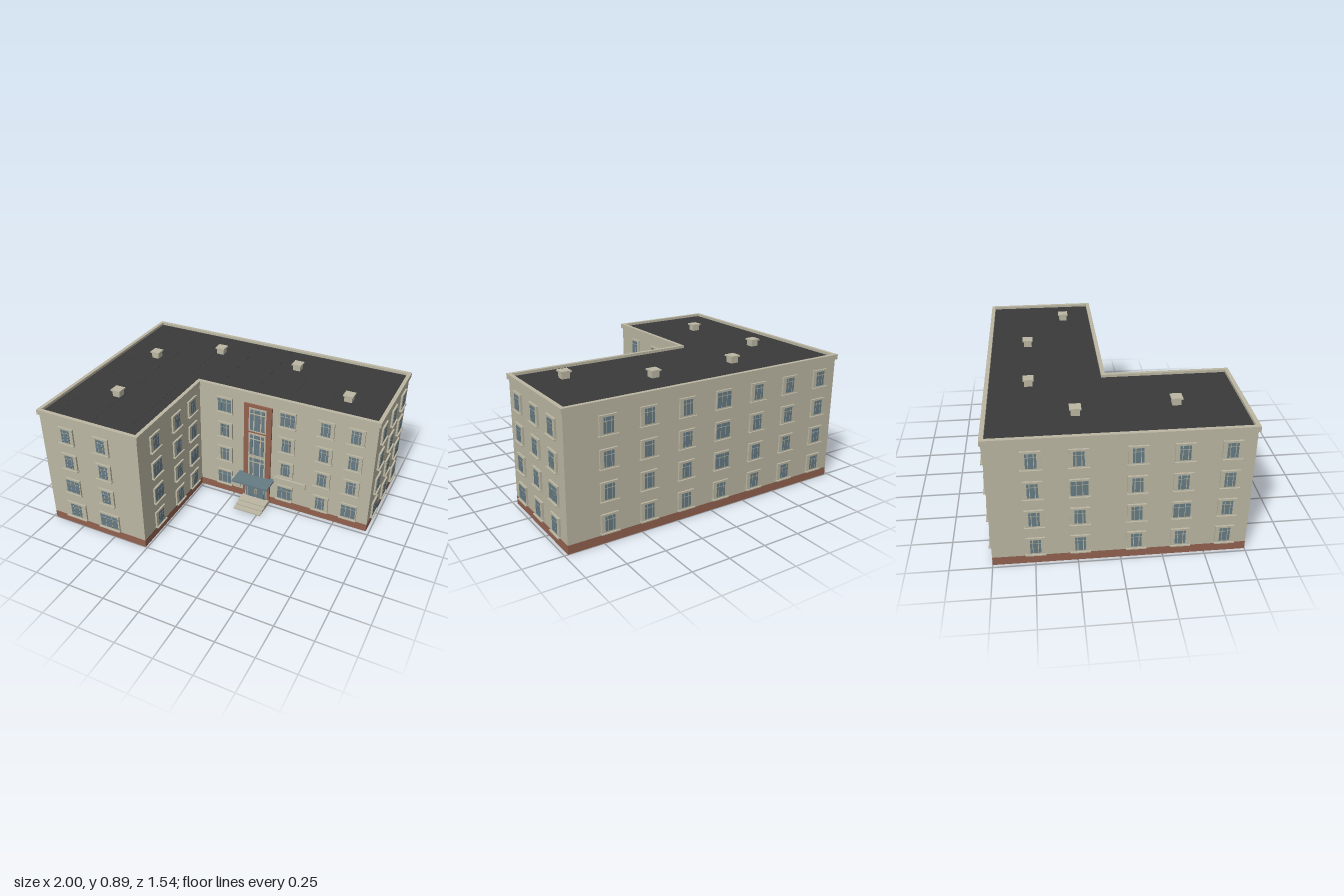
import * as THREE from 'three';

const mat = (name, color) => {
  const m = new THREE.MeshStandardMaterial({ color });
  m.name = name;
  return m;
};

// Half width, half depth and inner corner of the L-shaped plan
const X = 0.978, Z = 0.75, XI = -0.262, ZI = -0.031;
const BASE = 0.055, WALL_TOP = 0.822, ROOF = 0.838, TOP = 0.855;

export function createModel() {
  const wall = mat('plaster', 0xbbb6a2);
  const brick = mat('brick red', 0x92614f);
  const tar = mat('roof tar', 0x3a3a3a);
  const glass = mat('window glass', 0x667b84);

  const model = new THREE.Group();
  model.name = 'apartmentBuilding';

  const box = (parent, name, material, w, h, d, x, y, z) => {
    const m = new THREE.Mesh(new THREE.BoxGeometry(w, h, d), material);
    m.name = name;
    m.position.set(x, y, z);
    parent.add(m);
    return m;
  };
  // Box given by its lower edge and standing proud of a facade at z = 0
  const plate = (parent, name, material, x, y0, w, h, z0, z1) =>
    box(parent, name, material, w, h, z1 - z0, x, y0 + h / 2, (z0 + z1) / 2);

  // L-shaped outline, counter-clockwise, grown by d on every side
  const outline = (d) => [
    [-X - d, Z + d], [XI + d, Z + d], [XI + d, ZI + d],
    [X + d, ZI + d], [X + d, -Z - d], [-X - d, -Z - d],
  ].map(([x, z]) => new THREE.Vector2(x, -z));
  const slab = (name, material, d, y0, y1, hole) => {
    const shape = new THREE.Shape(outline(d));
    if (hole !== undefined) shape.holes.push(new THREE.Path(outline(hole).reverse()));
    const geo = new THREE.ExtrudeGeometry(shape, { depth: y1 - y0, bevelEnabled: false });
    geo.rotateX(-Math.PI / 2).translate(0, y0, 0);
    const m = new THREE.Mesh(geo, material);
    m.name = name;
    model.add(m);
  };

  // Walls, parapet and roof
  slab('walls', wall, 0, BASE, WALL_TOP + 0.005);
  slab('parapet', wall, 0.011, WALL_TOP, TOP, -0.014);
  slab('roof', tar, -0.005, WALL_TOP + 0.002, ROOF);
  for (let i = 0; i < 8; i++) {
    const x = -0.86 + 0.245 * i;
    const z1 = (x < XI ? Z : ZI) - 0.015, z0 = 0.015 - Z;
    box(model, 'roofSeam', tar, 0.004, 0.002, z1 - z0, x, ROOF, (z0 + z1) / 2);
  }

  // Plinth: brick all round, the wing's underside is plaster
  box(model, 'mainPlinth', brick, 2 * X, BASE, ZI + Z, 0, BASE / 2, (ZI - Z) / 2);
  const wing = box(model, 'wingPlinth', brick, XI + X, BASE, Z - ZI, (XI - X) / 2, BASE / 2, (Z + ZI) / 2);
  wing.material = [brick, brick, brick, wall, brick, brick];

  // Roof vents
  for (const [x, z] of [[-0.33, -0.495], [0.26, -0.495], [-0.715, -0.235], [0.715, -0.235], [-0.65, 0.355]]) {
    const vent = new THREE.Group();
    vent.name = 'roofVent';
    vent.position.set(x, ROOF, z);
    box(vent, 'ventShaft', wall, 0.052, 0.04, 0.052, 0, 0.018, 0);
    box(vent, 'ventCap', wall, 0.068, 0.01, 0.068, 0, 0.043, 0);
    model.add(vent);
  }

  // One window: three panes under a transom; narrow ones have curtains
  // that leave only the middle of the glass open
  const addWindow = (parent, u, y, w, wide) => {
    const g = new THREE.Group();
    g.name = 'window';
    g.position.set(u, y, 0);
    parent.add(g);
    const h = 0.12;
    plate(g, 'surround', wall, 0, 0, w, h, -0.002, 0.012);
    plate(g, 'sill', wall, 0, -0.001, w + 0.008, 0.007, 0, 0.022);
    const middle = w * (wide ? 0.29 : 0.25);
    const side = w * (wide ? 0.26 : 0.12);
    for (const s of [-1, 0, 1]) {
      const pw = s ? side : middle;
      const px = s * (middle / 2 + 0.004 + side / 2);
      plate(g, 'pane', glass, px, 0.015, pw, 0.068, 0.008, 0.0135);
      plate(g, 'topPane', glass, px, 0.087, pw, 0.021, 0.008, 0.0135);
    }
  };

  // A facade holds four floors of windows at the given columns;
  // wideCells lists "column,floor" of windows without curtains
  const facade = (name, x, z, turn, columns, wideCells, groundWidth = 0.112) => {
    const f = new THREE.Group();
    f.name = name;
    f.position.set(x, 0, z);
    f.rotation.y = turn * Math.PI / 2;
    columns.forEach((u, c) => {
      for (let floor = 0; floor < 4; floor++)
        addWindow(f, u, 0.066 + 0.1955 * floor, floor ? 0.112 : groundWidth, wideCells.includes(c + ',' + floor));
    });
    model.add(f);
    return f;
  };
  facade('wingFront', 0, Z, 0, [-0.785, -0.525], ['0,1', '1,0'], 0.152);
  facade('rightSide', X, 0, 1, [0.16, 0.39, 0.615], ['0,0', '2,1']);
  facade('wingInnerSide', XI, 0, 1, [-0.56, -0.295, -0.087], ['0,1', '0,2', '2,1']);
  facade('leftSide', -X, 0, -1, [-0.495, -0.235, 0.09, 0.35, 0.615], ['1,2', '3,1']);
  facade('back', 0, -Z, 2, [-0.715, -0.455, -0.195, 0.065, 0.33, 0.585, 0.845], ['3,3', '3,1', '3,2']);
  const front = facade('mainFront', 0, ZI, 0, [-0.07, 0.385, 0.645, 0.845], ['0,3', '0,0', '1,3', '1,0', '3,0']);

  // Stairwell: brick surround with three tall windows
  const cx = 0.175;
  plate(front, 'stairwellBrick', brick, cx, 0, 0.2, 0.771, -0.002, 0.013);
  for (const y of [0.19, 0.375, 0.57]) {
    plate(front, 'stairWindowFrame', wall, cx, y - 0.002, 0.126, 0.181, 0.005, 0.017);
    for (const [dx, w] of [[-0.041, 0.022], [0, 0.042], [0.041, 0.022]]) {
      plate(front, 'stairPane', glass, cx + dx, y + 0.009, w, 0.122, 0.01, 0.019);
      plate(front, 'stairTopPane', glass, cx + dx, y + 0.141, w, 0.026, 0.01, 0.019);
    }
  }

  // Entrance: double door, canopy, steps and signboards
  plate(front, 'doorFrame', wall, cx, 0.02, 0.164, 0.172, 0.005, 0.017);
  for (const s of [-1, 1]) {
    plate(front, 'doorLeaf', glass, cx + s * 0.031, 0.026, 0.056, 0.16, 0.01, 0.02);
    plate(front, 'sideLight', glass, cx + s * 0.069, 0.026, 0.012, 0.16, 0.01, 0.02);
    plate(front, 'doorHandle', wall, cx + s * 0.008, 0.06, 0.004, 0.04, 0.02, 0.026);
  }
  plate(front, 'canopy', glass, cx, 0.201, 0.265, 0.011, 0, 0.135);
  [0.17, 0.13, 0.09].forEach((depth, i) =>
    plate(front, 'step', wall, cx, i * 0.009, 0.2, 0.009, 0, depth));
  plate(front, 'longSign', wall, 0.42, 0.207, 0.23, 0.036, 0, 0.016);
  plate(front, 'smallSign', wall, 0.02, 0.08, 0.066, 0.066, 0, 0.016);

  return model;
}
